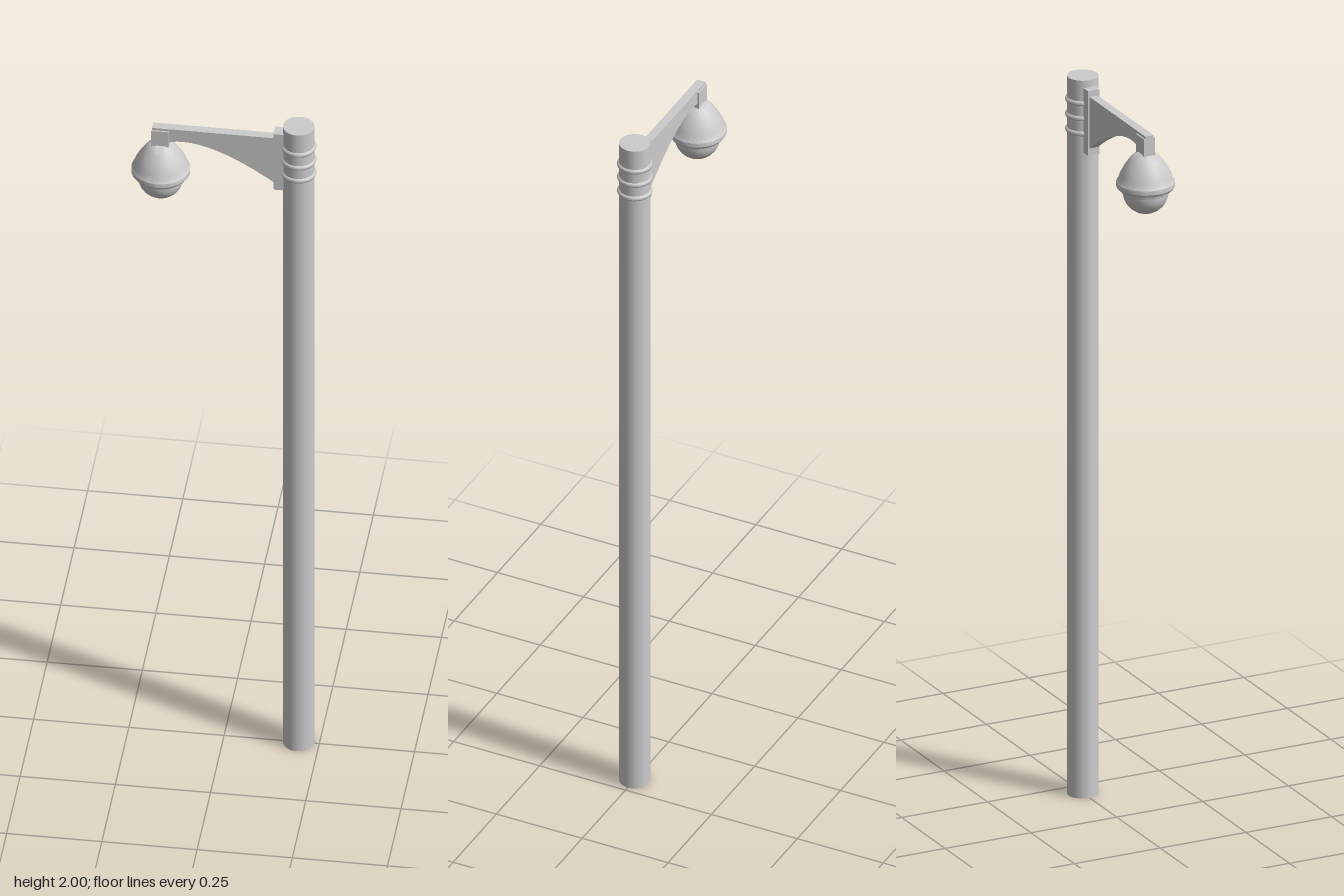
import * as THREE from 'three';
import { toCreasedNormals } from 'three/addons/utils/BufferGeometryUtils.js';

const POLE_X = 0.196, LAMP_X = -0.166;

export function createModel() {
  const model = new THREE.Group();
  const material = new THREE.MeshStandardMaterial({ color: 0xcccccc });

  const add = (name, geometry, x = 0, y = 0, z = 0) => {
    const mesh = new THREE.Mesh(geometry, material);
    mesh.name = name;
    mesh.position.set(x, y, z);
    model.add(mesh);
    return mesh;
  };
  const lathe = (points, sides) => toCreasedNormals(
    new THREE.LatheGeometry(points.map(([r, y]) => new THREE.Vector2(r, y)), sides), 0.6);

  // Pole
  add('pole', new THREE.CylinderGeometry(0.041, 0.041, 2, 32), POLE_X, 1, 0);

  // Clamp bands around the pole
  for (const y of [1.936, 1.894, 1.852]) {
    const band = add('clampBand', new THREE.TorusGeometry(0.039, 0.0075, 8, 32), POLE_X, y, 0);
    band.rotation.x = Math.PI / 2;
  }

  // Mounting plate between pole and arm
  add('mountingPlate', new THREE.BoxGeometry(0.034, 0.18, 0.034), 0.149, 1.89, 0);

  // Arm: flat top, curved underside, thin web
  const arm = new THREE.Shape();
  arm.moveTo(-0.188, 1.963);
  arm.lineTo(-0.188, 1.922);
  arm.lineTo(-0.14, 1.922);
  arm.bezierCurveTo(-0.07, 1.94, 0.03, 1.895, 0.136, 1.817);
  arm.lineTo(0.136, 1.963);
  arm.closePath();
  const armGeometry = new THREE.ExtrudeGeometry(arm, { depth: 0.024, bevelEnabled: false, curveSegments: 12 });
  add('arm', toCreasedNormals(armGeometry, 0.6), 0, 0, -0.012);

  // Short neck from arm to lamp
  add('neck', new THREE.BoxGeometry(0.046, 0.052, 0.032), LAMP_X, 1.93, 0);

  // Bell-shaped housing with a stepped rim
  add('housing', lathe([
    [0, 1.80], [0.062, 1.80], [0.064, 1.811], [0.072, 1.811], [0.077, 1.818],
    [0.077, 1.83], [0.072, 1.836], [0.068, 1.85], [0.056, 1.872], [0.042, 1.893],
    [0.03, 1.905], [0.018, 1.91], [0, 1.91],
  ], 24), LAMP_X);

  // Rounded globe below the rim
  const globe = new THREE.SphereGeometry(0.06, 24, 10, 0, Math.PI * 2, Math.PI / 2, Math.PI / 2);
  add('globe', globe, LAMP_X, 1.802, 0);

  return model;
}
